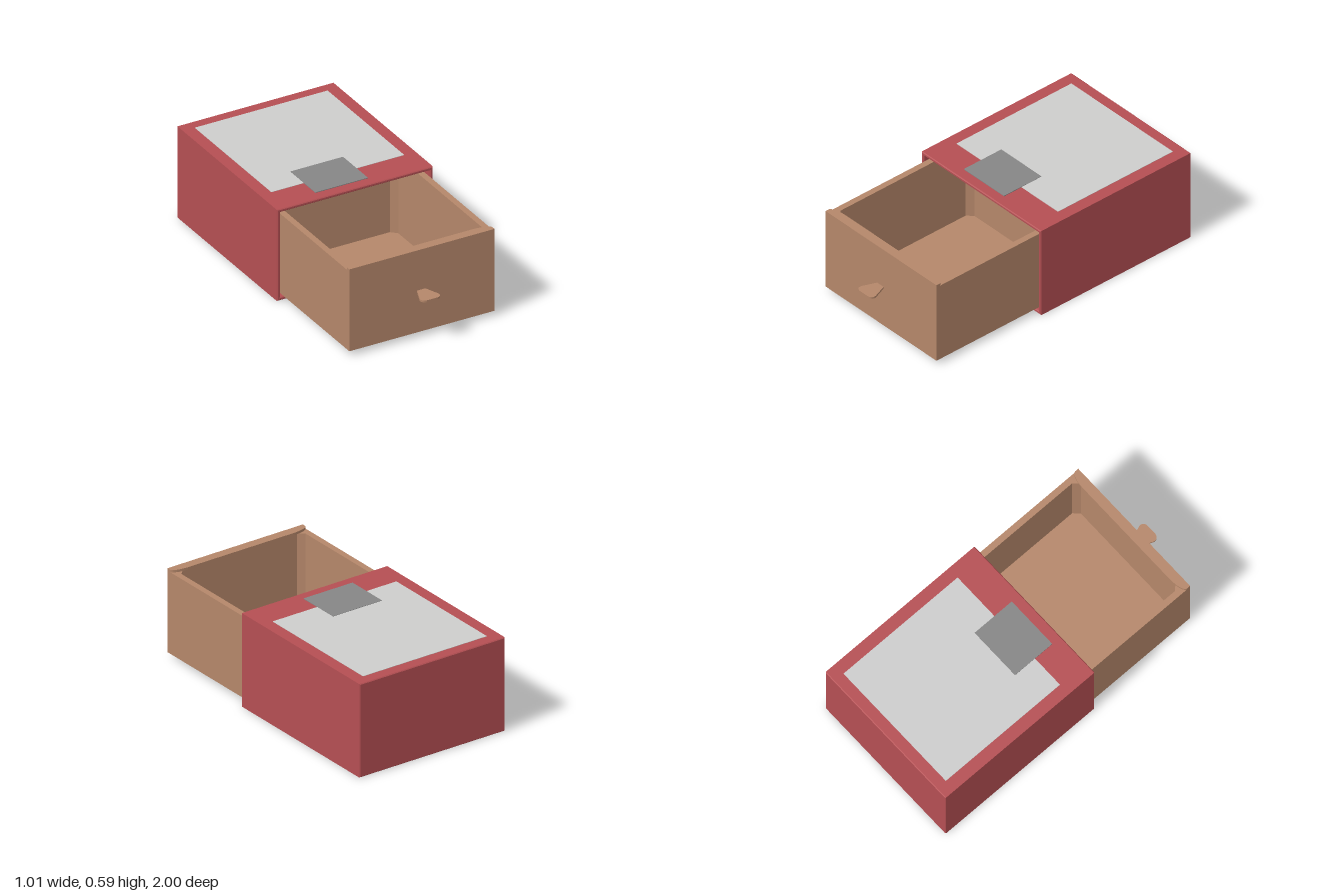
import * as THREE from 'three';

const paint = (name, color) => Object.assign(new THREE.MeshStandardMaterial({ color }), { name });

// Closed polygon from corner points
const polygon = (points, Type = THREE.Shape) => new Type(points.map(([x, y]) => new THREE.Vector2(x, y)));
const rect = (x, y0, y1, Type) => polygon([[-x, y0], [x, y0], [x, y1], [-x, y1]], Type);

// Plan outline (x, z) extruded upward from y0
function slab(shape, y0, height) {
  const geo = new THREE.ExtrudeGeometry(shape, { depth: height, bevelEnabled: false, curveSegments: 8 });
  return geo.rotateX(Math.PI / 2).translate(0, y0 + height, 0);
}

export function createModel() {
  const model = new THREE.Group();
  model.name = 'slidingBox';
  const red = paint('sleeveRed', 0xb54f53);
  const tan = paint('drawerTan', 0xb5876a);
  const pale = paint('paleGrey', 0xcdcdcc);
  const grey = paint('midGrey', 0x868686);

  function add(name, geometry, material, parent = model) {
    const mesh = new THREE.Mesh(geometry, material);
    mesh.name = name;
    parent.add(mesh);
    return mesh;
  }
  const box = (x0, x1, y0, y1, z0, z1) =>
    new THREE.BoxGeometry(x1 - x0, y1 - y0, z1 - z0).translate((x0 + x1) / 2, (y0 + y1) / 2, (z0 + z1) / 2);

  // Outer sleeve: open front, closed back, softly bevelled rim
  const sleeve = new THREE.Group();
  sleeve.name = 'sleeve';
  model.add(sleeve);
  const b = 0.005;
  const ring = rect(0.505 - b, b, 0.585 - b);
  ring.holes.push(rect(0.485 + b, 0.02 - b, 0.565 + b, THREE.Path));
  const ringGeo = new THREE.ExtrudeGeometry(ring, {
    depth: 1.125 - 2 * b, bevelSize: b, bevelThickness: b, bevelSegments: 1,
  }).translate(0, 0, -1 + b);
  add('sleeveShell', ringGeo, red, sleeve);
  add('sleeveBack', box(-0.497, 0.497, 0.008, 0.577, -1, -0.98), red, sleeve);

  // Painted panels on the sleeve top
  add('topPanel', box(-0.43, 0.43, 0.584, 0.587, -0.93, -0.07), pale, sleeve);
  add('topTab', box(-0.22, 0.12, 0.584, 0.589, -0.22, 0.06), grey, sleeve);

  // Drawer: four walls with chamfered inner corners
  const drawer = new THREE.Group();
  drawer.name = 'drawer';
  model.add(drawer);
  const walls = rect(0.47, -0.21, 0.865);
  const [ix, z0, z1, c] = [0.432, -0.175, 0.83, 0.035];
  walls.holes.push(polygon([
    [-ix, z0 + c], [-ix + c, z0], [ix - c, z0], [ix, z0 + c],
    [ix, z1 - c], [ix - c, z1], [-ix + c, z1], [-ix, z1 - c],
  ], THREE.Path));
  add('drawerWalls', slab(walls, 0.03, 0.51), tan, drawer);
  add('drawerFloor', box(-0.46, 0.46, 0.031, 0.05, -0.2, 0.85), tan, drawer);
  add('drawerFront', box(-0.47, 0.47, 0.03, 0.553, 0.865, 0.875), tan, drawer);

  // Lip along the top of the drawer front, rounded at its inner corners
  const lip = new THREE.Shape();
  lip.moveTo(-0.47, 0.875);
  lip.lineTo(-0.47, 0.85);
  lip.quadraticCurveTo(-0.46, 0.822, -0.37, 0.817);
  lip.lineTo(0.37, 0.817);
  lip.quadraticCurveTo(0.46, 0.822, 0.47, 0.85);
  lip.lineTo(0.47, 0.875);
  add('drawerLip', slab(lip, 0.54, 0.015), tan, drawer);

  // Flared flat pull
  const pull = new THREE.Shape();
  pull.moveTo(-0.03, 0.87);
  pull.lineTo(-0.067, 0.965);
  pull.quadraticCurveTo(-0.07, 0.995, -0.04, 1);
  pull.lineTo(0.03, 1);
  pull.quadraticCurveTo(0.06, 0.995, 0.057, 0.965);
  pull.lineTo(0.02, 0.87);
  add('pull', slab(pull, 0.286, 0.012), tan, drawer);

  return model;
}
